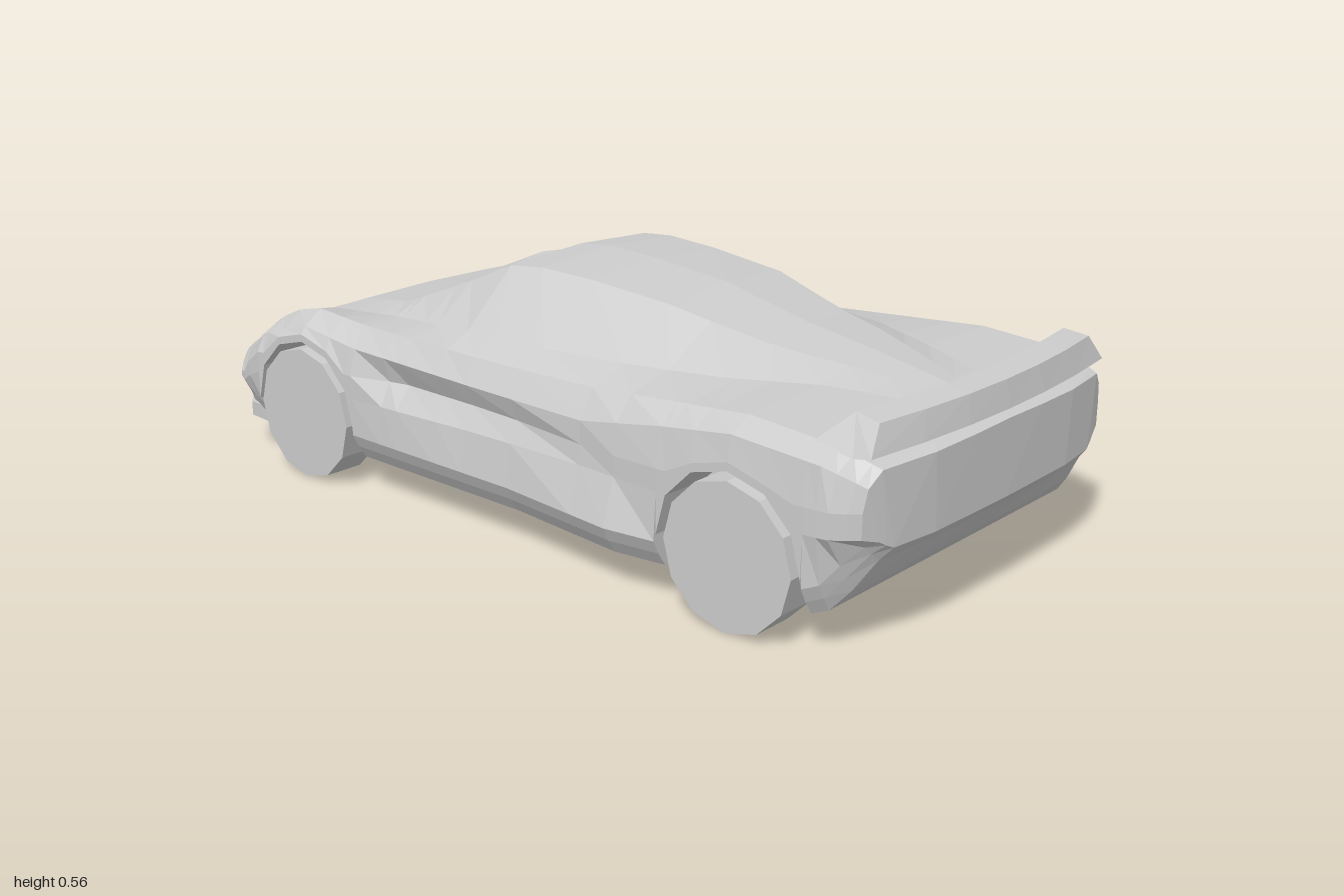
import * as THREE from 'three';

const material = new THREE.MeshStandardMaterial({ color: 0xcccccc, flatShading: true, side: THREE.DoubleSide });
const WHEELS = [{ z: -0.57, r: 0.155 }, { z: 0.69, r: 0.153 }];
const ARCH_RADIUS = 0.172;

// Straight-line curve through [z, value] pairs
const curve = (...p) => (z) => {
  if (z <= p[0][0]) return p[0][1];
  for (let i = 1; i < p.length; i++) {
    if (z <= p[i][0]) {
      const t = (z - p[i - 1][0]) / (p[i][0] - p[i - 1][0]);
      return p[i - 1][1] + t * (p[i][1] - p[i - 1][1]);
    }
  }
  return p[p.length - 1][1];
};

// Body lines along the length (nose at -1, tail at +1)
const floorY = curve([-1, 0.17], [-0.93, 0.12], [-0.9, 0.08], [0.88, 0.08], [0.93, 0.13], [0.98, 0.2], [1, 0.22]);
const bend = curve([-1, 0.18], [-0.96, 0.13], [-0.9, 0.08], [-0.82, 0.03], [-0.75, 0], [0.9, 0], [1, -0.05]);
const sillX = curve([-1, 0.4], [-0.74, 0.46], [-0.4, 0.47], [0.1, 0.47], [0.4, 0.497], [0.52, 0.48], [0.86, 0.47], [1, 0.39]);
const sideX = curve([-1, 0.43], [-0.96, 0.445], [-0.9, 0.455], [-0.74, 0.47], [-0.4, 0.47], [0, 0.455], [0.3, 0.46], [0.52, 0.475], [0.86, 0.472], [0.95, 0.465], [1, 0.43]);
const sideY = curve([-1, 0.185], [-0.9, 0.18], [-0.74, 0.22], [1, 0.25]);
const scoop = curve([-0.38, 0], [-0.27, 0.04], [0.15, 0.02], [0.35, 0]);
const creaseY = curve([-1, 0.195], [-0.9, 0.2], [-0.74, 0.27], [-0.4, 0.28], [0.3, 0.28], [0.86, 0.3], [1, 0.3]);
const beltX = curve([-1, 0.41], [-0.9, 0.43], [-0.74, 0.45], [-0.57, 0.457], [0, 0.45], [0.3, 0.455], [0.69, 0.465], [0.9, 0.46], [1, 0.42]);
const beltY = curve([-1, 0.2], [-0.9, 0.22], [-0.74, 0.31], [-0.57, 0.362], [-0.4, 0.34], [0, 0.33], [0.3, 0.33], [0.52, 0.37], [0.69, 0.395], [0.9, 0.38], [1, 0.345]);
const shoulderX = curve([-1, 0.38], [-0.9, 0.39], [-0.74, 0.4], [-0.57, 0.41], [0, 0.42], [0.7, 0.41], [0.9, 0.41], [1, 0.39]);
const shoulderY = curve([-1, 0.21], [-0.96, 0.23], [-0.82, 0.29], [-0.68, 0.37], [-0.57, 0.395], [-0.4, 0.385], [0, 0.385], [0.3, 0.39], [0.69, 0.42], [0.9, 0.405], [1, 0.375]);
const cabinX = curve([-1, 0.3], [-0.7, 0.3], [-0.4, 0.31], [-0.1, 0.36], [0.2, 0.35], [0.5, 0.28], [0.75, 0.16], [0.88, 0.12], [1, 0.25]);
const cabinY = curve([-1, 0.213], [-0.96, 0.235], [-0.82, 0.29], [-0.68, 0.358], [-0.45, 0.38], [-0.1, 0.415], [0.3, 0.42], [0.7, 0.425], [0.9, 0.41], [1, 0.378]);
const roofX = curve([-1, 0.18], [-0.7, 0.2], [-0.4, 0.24], [-0.05, 0.215], [0.3, 0.19], [0.6, 0.13], [0.85, 0.05], [1, 0.12]);
const roofY = curve([-1, 0.217], [-0.96, 0.24], [-0.82, 0.293], [-0.68, 0.36], [-0.47, 0.395], [-0.3, 0.46], [-0.13, 0.535], [0, 0.547], [0.3, 0.518], [0.5, 0.472], [0.65, 0.452], [0.87, 0.415], [1, 0.38]);
const crown = curve([-1, 0.003], [-0.5, 0.005], [-0.05, 0.013], [0.5, 0.012], [1, 0.002]);

// Half cross-section from floor centre to roof centre; archY opens a wheel well
function halfSection(z, archY) {
  const f = floorY(z), isArch = archY !== undefined;
  const sy = sillX(z);
  const innerX = isArch ? 0.36 : sy - 0.035;
  const lipY = isArch ? archY : f + Math.min(0.06, (sideY(z) - f) * 0.6);
  const sY = Math.max(sideY(z), lipY + 0.01);
  const cY = Math.max(creaseY(z), sY + 0.008);
  const bY = Math.max(beltY(z), cY + 0.006);
  const points = [
    [0, f], [0.24, f], [innerX, f],
    isArch ? [innerX, lipY] : [sy - 0.015, (f + lipY) / 2],
    [isArch ? sideX(z) : sy, lipY],
    [sideX(z), sY], [sideX(z) - scoop(z), cY], [beltX(z), bY],
    [shoulderX(z), shoulderY(z)], [cabinX(z), cabinY(z)],
    [roofX(z), roofY(z)], [0, roofY(z) + crown(z)],
  ];
  return points.map(([x, y]) => [x, y, z + bend(z) * (x / 0.46) ** 4]);
}

// Stations along the car, doubled at the upright walls of each wheel arch
function stations() {
  const list = [];
  const plain = (...zs) => zs.forEach((z) => list.push(halfSection(z)));
  const arch = ({ z, r }) => {
    plain(z - ARCH_RADIUS);
    for (let i = 0; i <= 6; i++) {
      const a = Math.PI * (1 - i / 6);
      list.push(halfSection(z + ARCH_RADIUS * Math.cos(a), r + ARCH_RADIUS * Math.sin(a)));
    }
    plain(z + ARCH_RADIUS);
  };
  plain(-1, -0.96, -0.9, -0.82);
  arch(WHEELS[0]);
  plain(-0.3, -0.25, -0.13, -0.04, 0.1, 0.3, 0.4);
  arch(WHEELS[1]);
  plain(0.89, 0.93, 0.975, 1);
  return list;
}

// Body shell lofted through mirrored sections, closed at both ends
function bodyGeometry() {
  const rings = stations().map((h) => [...h, ...h.slice(1, -1).reverse().map(([x, y, z]) => [-x, y, z])]);
  const n = rings[0].length, top = n / 2, index = [];
  const quad = (a, b, c, d) => index.push(a, b, c, a, c, d);
  for (let i = 0; i < rings.length - 1; i++) {
    for (let j = 0; j < n; j++) {
      const k = (j + 1) % n;
      quad(i * n + j, i * n + k, (i + 1) * n + k, (i + 1) * n + j);
    }
  }
  const last = (rings.length - 1) * n, mirror = (k) => (n - k) % n;
  for (let i = 0; i < top / 2 - 1; i++) {
    const right = [i, i + 1, top - 1 - i, top - i];
    const left = [i, top - i, top - 1 - i, i + 1].map(mirror);
    for (const q of [right, left]) {
      quad(...q.map((k) => last + k));
      quad(...[...q].reverse());
    }
  }
  const g = new THREE.BufferGeometry();
  g.setAttribute('position', new THREE.Float32BufferAttribute(rings.flat(2), 3));
  g.setIndex(index);
  g.computeVertexNormals();
  return g;
}

// Tail wing: a profile in z and y, stretched across the car and bowed
function spoilerGeometry() {
  const shape = new THREE.Shape([[0.87, 0.405], [0.96, 0.393], [0.998, 0.4], [0.985, 0.455], [0.93, 0.463]]
    .map(([z, y]) => new THREE.Vector2(-z, y)));
  const g = new THREE.ExtrudeGeometry(shape, { depth: 0.84, steps: 6, bevelEnabled: false });
  g.translate(0, 0, -0.42).rotateY(Math.PI / 2);
  const p = g.attributes.position;
  for (let i = 0; i < p.count; i++) {
    const x = p.getX(i), y = p.getY(i), e = (x / 0.42) ** 2;
    p.setX(i, x * (1 - Math.max(0, y - 0.4) * 1.8));
    p.setZ(i, p.getZ(i) - 0.03 * e);
  }
  g.computeVertexNormals();
  return g;
}

// Thin front lip following the rounded nose
function splitterGeometry() {
  const edge = [[0.43, 0.77], [0.425, 0.84], [0.36, 0.915], [0.2, 0.962], [0, 0.975]];
  const outline = [...edge, ...edge.slice(0, -1).reverse().map(([x, z]) => [-x, z])];
  const shape = new THREE.Shape(outline.map(([x, z]) => new THREE.Vector2(x, z)));
  const g = new THREE.ExtrudeGeometry(shape, { depth: 0.035, bevelEnabled: false });
  return g.rotateX(-Math.PI / 2).translate(0, 0.079, 0);
}

export function createModel() {
  const car = new THREE.Group();
  car.name = 'car';
  const add = (name, geometry) => {
    const mesh = new THREE.Mesh(geometry, material);
    mesh.name = name;
    car.add(mesh);
    return mesh;
  };
  add('body', bodyGeometry());
  add('spoiler', spoilerGeometry());
  add('frontSplitter', splitterGeometry());

  // Four wheels
  WHEELS.forEach(({ z, r }, i) => {
    for (const side of [1, -1]) {
      const name = (i ? 'rear' : 'front') + (side > 0 ? 'LeftWheel' : 'RightWheel');
      const wheel = add(name, new THREE.CylinderGeometry(r, r, 0.096, 12).rotateZ(Math.PI / 2));
      wheel.position.set(side * 0.426, r, z);
    }
  });
  return car;
}
